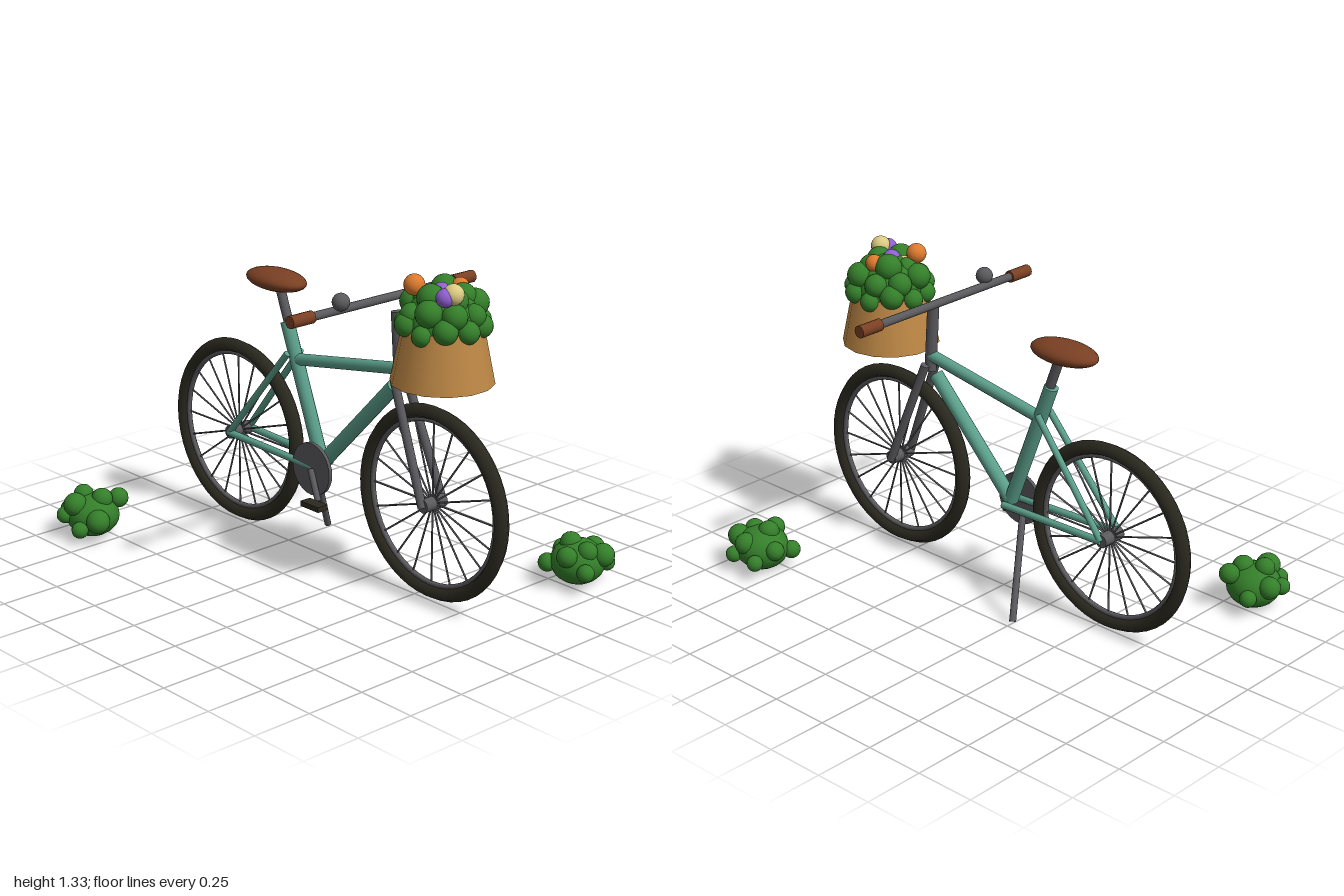
import * as THREE from 'three';

const mat = (name, color, extra = {}) => {
  const m = new THREE.MeshStandardMaterial({ color, ...extra });
  m.name = name;
  return m;
};

export function createModel() {
  const teal = mat('teal paint', 0x5b9f8a);
  const steel = mat('grey steel', 0x5a5a5e);
  const rubber = mat('dark rubber', 0x2b2a20);
  const leather = mat('brown leather', 0x7a4023);
  const wicker = mat('wicker', 0xbd8745);
  const leaf = mat('leaf green', 0x347f2a);
  const orange = mat('orange petals', 0xdd7a2e);
  const purple = mat('purple petals', 0x8f5fd0);
  const cream = mat('cream petals', 0xdccb82);

  const model = new THREE.Group();
  model.name = 'bicycle';

  const add = (name, geometry, material, parent = model) => {
    const mesh = new THREE.Mesh(geometry, material);
    mesh.name = name;
    parent.add(mesh);
    return mesh;
  };
  const group = (name) => {
    const g = new THREE.Group();
    g.name = name;
    model.add(g);
    return g;
  };
  // Round rod between two points
  const rod = (name, a, b, r, material, parent = model, rEnd = r, sides = 12) => {
    const p = new THREE.Vector3(...a), q = new THREE.Vector3(...b);
    const d = q.clone().sub(p);
    const mesh = add(name, new THREE.CylinderGeometry(rEnd, r, d.length(), sides), material, parent);
    mesh.position.copy(p).addScaledVector(d, 0.5);
    mesh.quaternion.setFromUnitVectors(new THREE.Vector3(0, 1, 0), d.normalize());
    return mesh;
  };
  const ball = (name, [x, y, z], r, material, parent = model) => {
    const mesh = add(name, new THREE.SphereGeometry(r, 16, 12), material, parent);
    mesh.position.set(x, y, z);
    return mesh;
  };

  // Wheels
  for (const [name, x] of [['rearWheel', -0.56], ['frontWheel', 0.592]]) {
    const wheel = group(name);
    wheel.position.set(x, 0.408, 0);
    add('tire', new THREE.TorusGeometry(0.365, 0.03, 6, 48), rubber, wheel);
    add('rim', new THREE.TorusGeometry(0.334, 0.011, 8, 48), steel, wheel);
    rod('hub', [0, 0, -0.055], [0, 0, 0.055], 0.028, steel, wheel);
    for (let i = 0; i < 20; i++) {
      const a = (i / 20) * Math.PI * 2;
      rod('spoke', [0, 0, 0], [0.332 * Math.cos(a), 0.332 * Math.sin(a), 0], 0.004, steel, wheel, 0.004, 5);
    }
  }

  // Frame
  const frame = group('frame');
  rod('seatTube', [-0.04, 0.4, 0], [-0.25, 0.95, 0], 0.029, teal, frame);
  rod('topTube', [-0.2, 0.802, 0], [0.4, 0.905, 0], 0.025, teal, frame);
  rod('downTube', [-0.04, 0.4, 0], [0.375, 0.828, 0], 0.03, teal, frame);
  for (const s of [-1, 1]) {
    rod('chainStay', [-0.56, 0.408, 0.055 * s], [-0.04, 0.393, 0.048 * s], 0.015, teal, frame);
    rod('seatStay', [-0.56, 0.408, 0.055 * s], [-0.21, 0.83, 0.035 * s], 0.014, teal, frame);
    rod('forkBlade', [0.592, 0.4, 0.056 * s], [0.405, 0.87, 0.032 * s], 0.018, steel, frame);
  }
  rod('steeringTube', [0.407, 0.84, 0], [0.386, 1.13, 0], 0.025, steel, frame);

  // Saddle
  rod('seatPost', [-0.235, 0.93, 0], [-0.295, 1.09, 0], 0.02, steel);
  const saddle = add('saddle', new THREE.SphereGeometry(1, 24, 14), leather);
  saddle.scale.set(0.158, 0.043, 0.088);
  saddle.position.set(-0.315, 1.112, 0);

  // Handlebar with grips and bell
  const bar = group('handlebar');
  bar.position.set(0.313, 1.165, 0);
  rod('bar', [0, 0, -0.45], [0, 0, 0.45], 0.017, steel, bar);
  for (const s of [-1, 1]) rod('grip', [0, 0, 0.37 * s], [0, 0, 0.48 * s], 0.025, leather, bar);
  ball('bell', [0.018, 0.036, 0.24], 0.035, steel, bar);

  // Drive and kickstand
  rod('chainring', [-0.04, 0.388, 0.046], [-0.04, 0.388, 0.062], 0.11, steel, model, 0.11, 28);
  rod('crank', [-0.035, 0.39, 0.068], [0.04, 0.28, 0.095], 0.013, steel);
  add('pedal', new THREE.BoxGeometry(0.105, 0.022, 0.05), rubber).position.set(0.054, 0.277, 0.13);
  rod('kickstand', [-0.14, 0.39, -0.04], [-0.255, 0.012, -0.225], 0.014, steel);

  // Flower basket
  const basket = group('flowerBasket');
  basket.position.set(0.633, 0, 0);
  add('basket', new THREE.CylinderGeometry(0.155, 0.2, 0.22, 14), wicker, basket).position.y = 1.02;
  ball('foliageCore', [0, 1.13, 0], 0.15, leaf, basket);
  const rings = [[10, 0.145, 1.135, 0.045, 0.1], [8, 0.125, 1.195, 0.05, 0.45], [5, 0.075, 1.24, 0.052, 0.2]];
  for (const [n, radius, y, r, turn] of rings) {
    for (let i = 0; i < n; i++) {
      const a = turn + (i / n) * Math.PI * 2;
      const lift = 0.014 * Math.sin(i * 2.4);
      ball('leafClump', [radius * Math.cos(a), y + lift, radius * Math.sin(a)], r + lift * 0.3, leaf, basket);
    }
  }
  const flowers = [
    [-0.078, 1.285, 0.077, 0.041, orange], [0.003, 1.265, -0.083, 0.035, orange],
    [0, 1.262, 0.013, 0.036, purple], [0.092, 1.27, 0.085, 0.036, purple],
    [0.105, 1.28, 0.055, 0.041, cream], [-0.03, 1.24, 0.05, 0.032, cream],
  ];
  for (const [x, y, z, r, m] of flowers) ball('flower', [x, y, z], r, m, basket);

  // Ground bushes: squashed core with smaller clumps around it (x, y, z, radius)
  const bushes = [
    [[-0.85, 0.56], [
      [-0.05, 0.08, -0.103, 0.035], [0.053, 0.155, -0.095, 0.042], [-0.095, 0.115, -0.025, 0.046],
      [0.04, 0.165, -0.02, 0.045], [0.097, 0.095, 0.045, 0.05], [-0.01, 0.15, 0.08, 0.05],
      [-0.105, 0.1, 0.045, 0.035], [-0.05, 0.1, 0.105, 0.036], [0.05, 0.06, 0.105, 0.035],
      [-0.04, 0.172, 0.015, 0.042]]],
    [[0.85, -0.56], [
      [-0.07, 0.075, -0.105, 0.034], [0.06, 0.075, -0.105, 0.034], [0.01, 0.13, -0.08, 0.046],
      [0.09, 0.13, -0.045, 0.048], [-0.1, 0.11, -0.02, 0.04], [-0.026, 0.165, 0.015, 0.045],
      [0.06, 0.15, 0.015, 0.042], [-0.09, 0.08, 0.08, 0.038], [0.025, 0.14, 0.095, 0.042],
      [0.107, 0.09, 0.075, 0.036]]],
  ];
  for (const [[x, z], clumps] of bushes) {
    const bush = group('bush');
    bush.position.set(x, 0, z);
    ball('bushCore', [0, 0.092, 0], 0.112, leaf, bush).scale.y = 0.82;
    for (const [cx, cy, cz, r] of clumps) ball('bushClump', [cx, cy, cz], r, leaf, bush);
  }
  return model;
}
